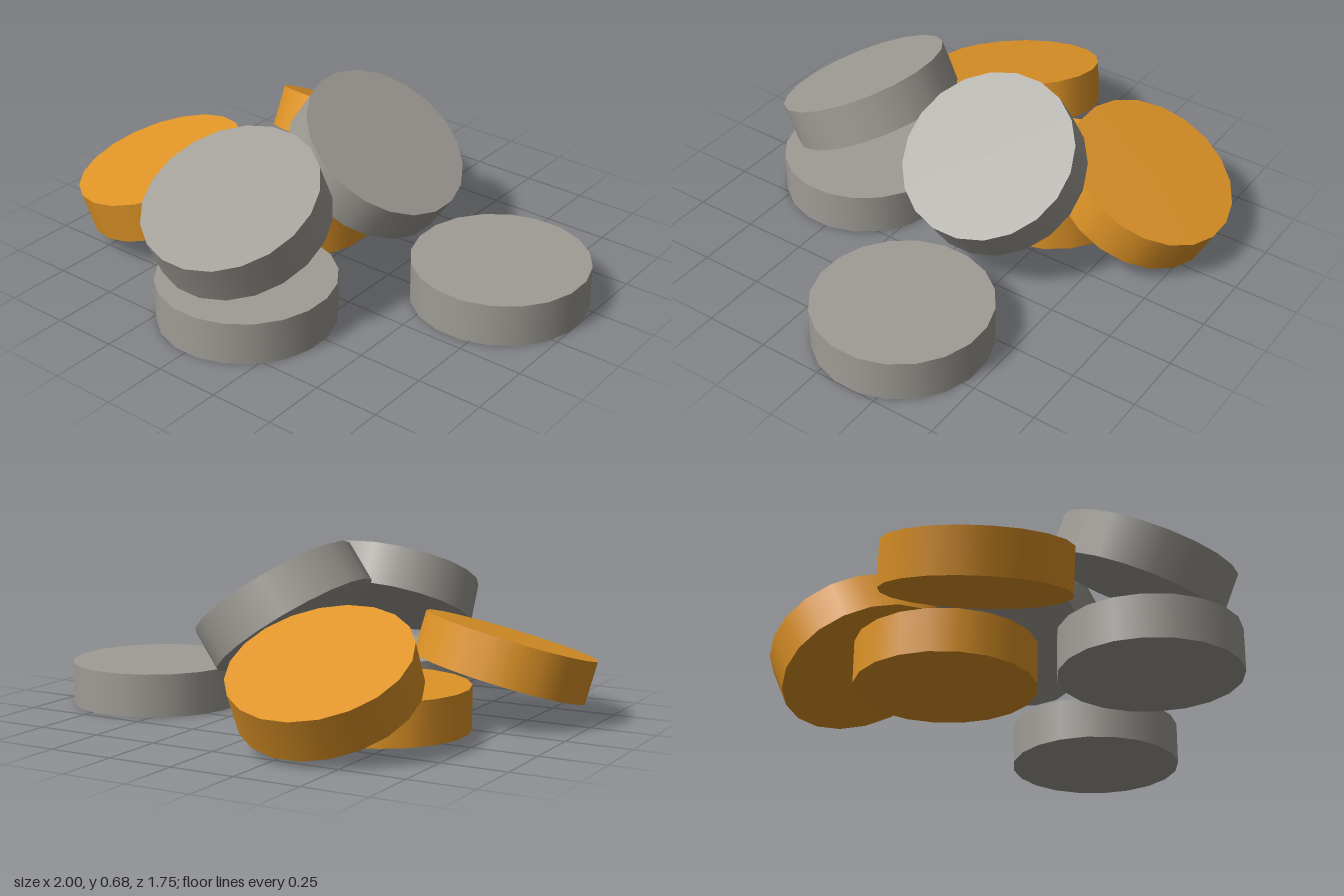
import * as THREE from 'three';

// A loose pile of seven thick round discs: three lie flat, four lean on them.
const SIDES = 20;
const RADIUS = 0.336;
const THICKNESS = 0.165;

export function createModel() {
  const model = new THREE.Group();
  model.name = 'discPile';

  const grey = new THREE.MeshStandardMaterial({ color: 0x9f9c95 });
  grey.name = 'warm grey';
  const orange = new THREE.MeshStandardMaterial({ color: 0xdf9427 });
  orange.name = 'amber orange';

  // Flat facets face the x and z axes, hence the half-step turn
  const disc = new THREE.CylinderGeometry(RADIUS, RADIUS, THICKNESS, SIDES);
  disc.rotateY(Math.PI / SIDES);

  const up = new THREE.Vector3(0, 1, 0);
  const addDisc = (name, material, position, axis = [0, 1, 0]) => {
    const mesh = new THREE.Mesh(disc, material);
    mesh.name = name;
    mesh.position.set(...position);
    mesh.quaternion.setFromUnitVectors(up, new THREE.Vector3(...axis).normalize());
    model.add(mesh);
  };

  // Discs lying on the ground
  const flat = THICKNESS / 2;
  addDisc('flatDiscLeft', grey, [0.667, flat, -0.13]);
  addDisc('flatDiscFront', grey, [0.003, flat, 0.537]);
  addDisc('flatDiscRight', orange, [-0.328, flat, -0.13]);

  // Leaning discs, each given by its centre and the direction its top faces
  addDisc('leaningDiscFront', grey, [-0.032, 0.418, 0.54], [0, 0.906, 0.423]);
  addDisc('leaningDiscCentre', grey, [0.085, 0.417, -0.13], [0.574, 0.819, 0]);
  addDisc('leaningDiscBack', orange, [-0.328, 0.247, -0.542], [0, 0.891, -0.454]);
  addDisc('leaningDiscRight', orange, [-0.657, 0.235, 0.254], [-0.212, 0.958, 0.19]);

  return model;
}
